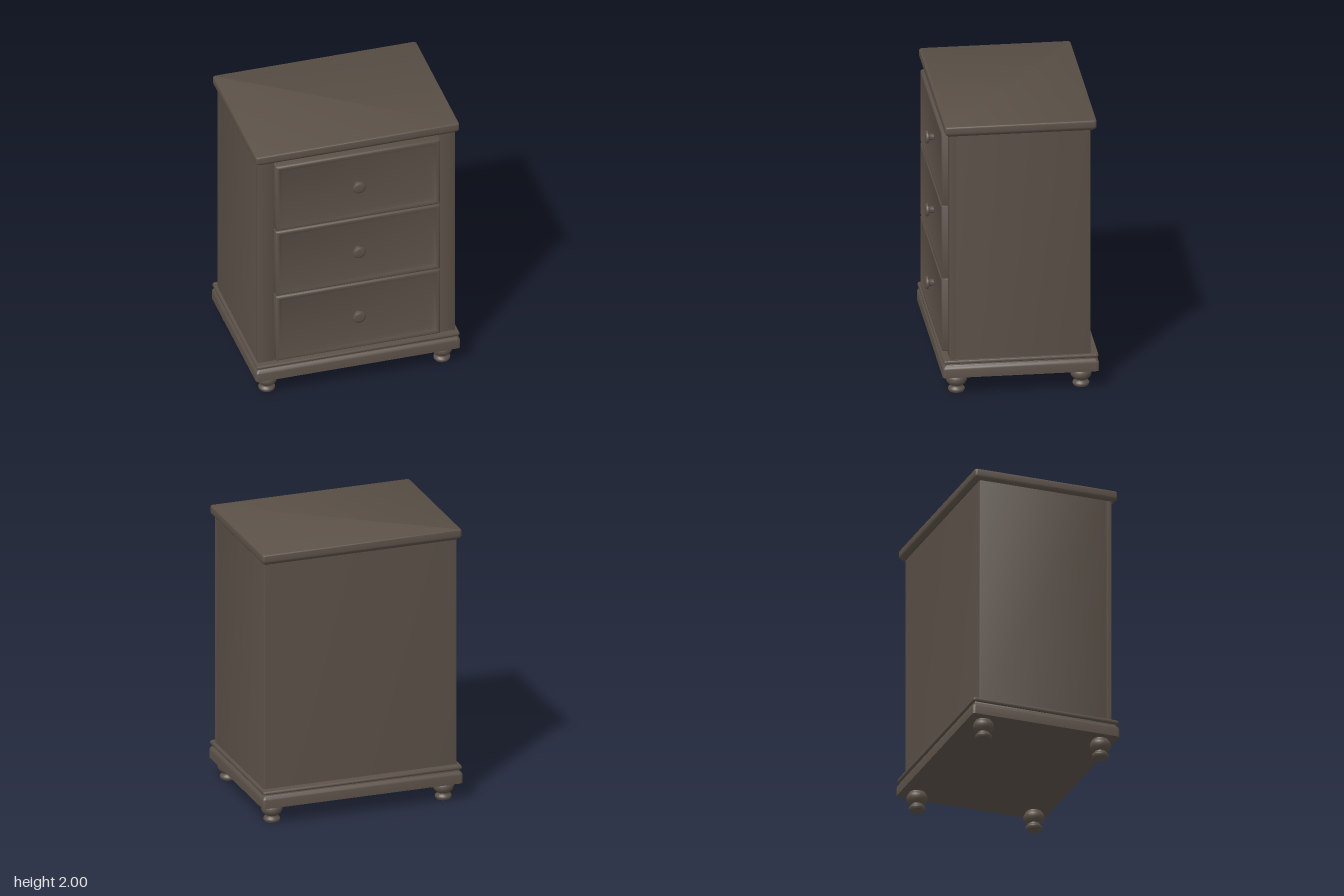
import * as THREE from 'three';
import { toCreasedNormals } from 'three/addons/utils/BufferGeometryUtils.js';

const wood = new THREE.MeshStandardMaterial({ color: 0x5a5047 });
wood.name = 'darkWood';

// Closed solid lofted through rounded rectangles; profile rows are [inset, height].
function loft(hx, hz, radius, profile) {
  const pos = [], index = [], steps = 4, n = 4 * (steps + 1);
  for (const [inset, y] of profile) {
    const r = Math.max(radius - inset * 0.5, 0.002);
    const cx = hx - inset - r, cz = hz - inset - r;
    for (let q = 0; q < 4; q++) {
      const sx = q === 0 || q === 3 ? 1 : -1, sz = q < 2 ? 1 : -1;
      for (let s = 0; s <= steps; s++) {
        const a = (q + s / steps) * Math.PI / 2;
        pos.push(sx * cx + r * Math.cos(a), y, sz * cz + r * Math.sin(a));
      }
    }
  }
  const rows = profile.length;
  for (let k = 0; k < rows - 1; k++) {
    for (let i = 0; i < n; i++) {
      const j = (i + 1) % n, a = k * n + i, b = k * n + j;
      index.push(a, a + n, b, b, a + n, b + n);
    }
  }
  // flat end caps
  const top = (rows - 1) * n;
  for (let i = 1; i < n - 1; i++) {
    index.push(0, i, i + 1, top, top + i + 1, top + i);
  }
  const g = new THREE.BufferGeometry();
  g.setAttribute('position', new THREE.Float32BufferAttribute(pos, 3));
  g.setIndex(index);
  return toCreasedNormals(g, 0.7);
}

function lathe(points, segments) {
  const g = new THREE.LatheGeometry(points.map(([r, y]) => new THREE.Vector2(r, y)), segments);
  return toCreasedNormals(g, 0.8);
}

export function createModel() {
  const group = new THREE.Group();
  const add = (name, geometry, x = 0, y = 0, z = 0) => {
    const mesh = new THREE.Mesh(geometry, wood);
    mesh.name = name;
    mesh.position.set(x, y, z);
    group.add(mesh);
    return mesh;
  };

  // Carcass: main box, with front stiles and rail framing the drawer opening
  add('cabinetBody', loft(0.71, 0.475, 0.012, [[0, 0.25], [0, 1.94]]), 0, 0, -0.025);
  for (const s of [-1, 1]) {
    add('frontStile', loft(0.06, 0.025, 0.008, [[0, 0.25], [0, 1.94]]), s * 0.65, 0, 0.455);
  }
  add('bottomRail', new THREE.BoxGeometry(1.19, 0.03, 0.03), 0, 0.262, 0.465);

  // Top board with a moulded lower edge
  add('topBoard', loft(0.733, 0.527, 0.02, [
    [0.026, 1.922], [0.02, 1.928], [0.008, 1.938], [0.001, 1.948], [0, 1.956],
    [0, 1.988], [0.002, 1.996], [0.007, 2.0],
  ]), 0, 0, -0.012);

  // Plinth moulding
  add('plinth', loft(0.735, 0.543, 0.02, [
    [0, 0.135], [0, 0.195], [0.003, 0.205], [0.012, 0.215], [0.02, 0.222], [0.022, 0.234],
    [0.008, 0.236], [0.004, 0.242], [0.004, 0.252], [0.008, 0.259], [0.016, 0.261],
  ]), 0, 0, -0.013);

  // Turned feet
  const foot = lathe([
    [0, 0], [0.05, 0], [0.056, 0.008], [0.059, 0.018], [0.055, 0.028], [0.043, 0.036],
    [0.041, 0.046], [0.052, 0.054], [0.066, 0.068], [0.073, 0.085], [0.073, 0.102],
    [0.066, 0.118], [0.058, 0.126], [0.056, 0.138],
  ], 24);
  for (const x of [-0.63, 0.63]) {
    for (const z of [0.425, -0.44]) add('foot', foot, x, 0, z);
  }

  // Three drawers: rounded raised frame sloping down to a recessed panel
  const front = loft(0.591, 0.2685, 0.006, [
    [0, 0], [0, 0.058], [0.002, 0.066], [0.007, 0.072], [0.015, 0.074], [0.024, 0.073],
    [0.036, 0.066], [0.046, 0.061], [0.054, 0.06], [0.062, 0.056],
  ]).rotateX(Math.PI / 2);
  const knob = lathe([
    [0.024, 0], [0.024, 0.032], [0.028, 0.036], [0.042, 0.037], [0.046, 0.041],
    [0.046, 0.049], [0.041, 0.055], [0.025, 0.058], [0, 0.059],
  ], 24).rotateX(Math.PI / 2);
  for (let i = 0; i < 3; i++) {
    const y = 0.547 + i * 0.542;
    add('drawerFront', front, 0, y, 0.449);
    add('drawerKnob', knob, 0, y + 0.005, 0.504);
  }
  return group;
}
